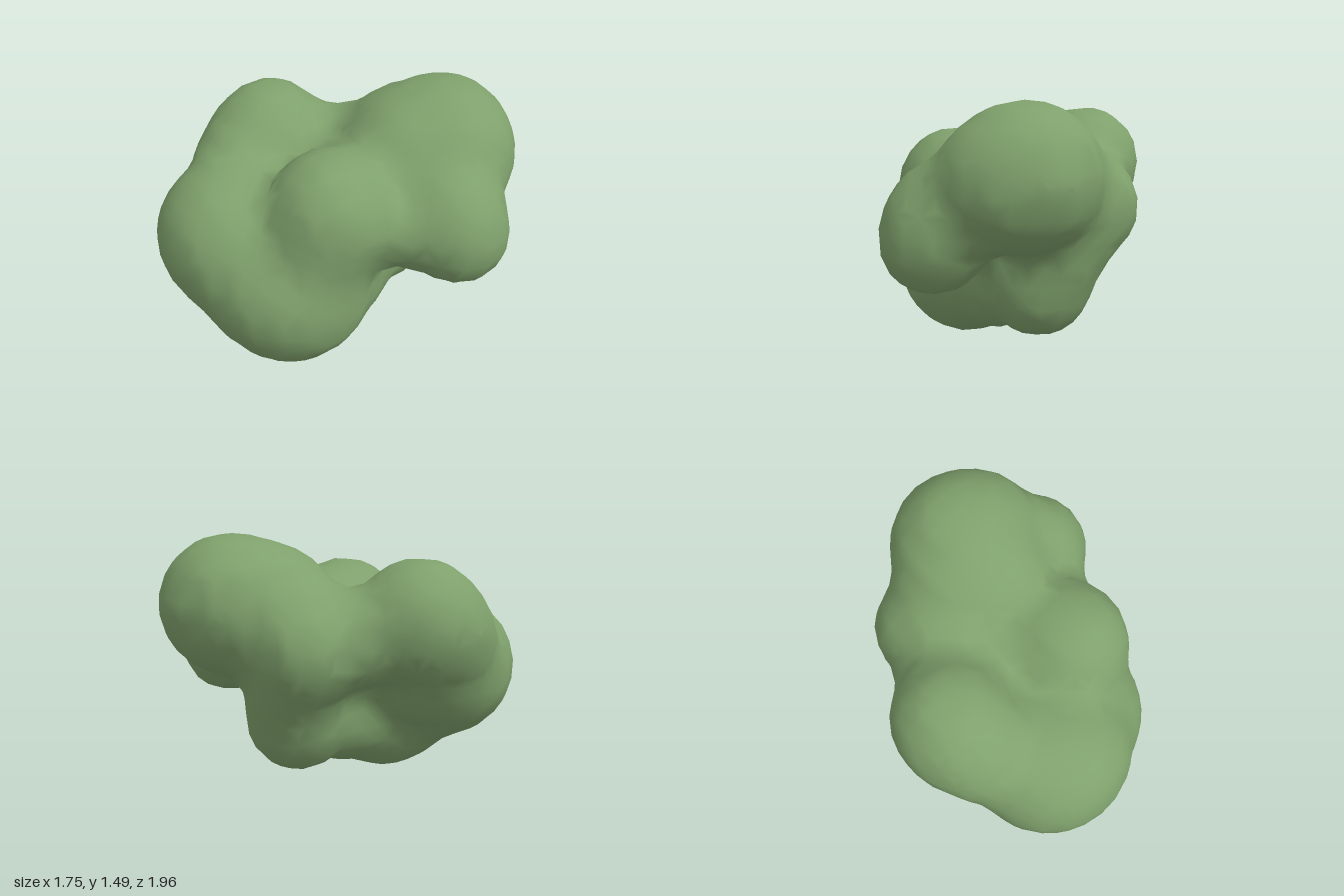
import * as THREE from 'three';

// Lobes of the lumpy body: x, y, z, radius
const LOBES = [
  // upper back
  [0.17, 1.13, -0.6, 0.4], [0.32, 1.1, -0.58, 0.34],
  [0.02, 1.08, -0.45, 0.37], [0.15, 1.08, -0.35, 0.36],
  // left side
  [0.59, 0.8, -0.38, 0.3], [0.52, 0.93, -0.37, 0.3], [0.42, 0.85, -0.15, 0.25],
  // upper right
  [-0.55, 1.08, 0.1, 0.34], [-0.56, 1.0, 0.2, 0.32], [-0.5, 0.93, 0.33, 0.31],
  // front
  [-0.2, 0.69, 0.57, 0.43], [-0.29, 0.71, 0.55, 0.42], [-0.42, 0.74, 0.3, 0.32],
  // lower front
  [0.08, 0.39, 0.4, 0.39], [0.0, 0.5, 0.5, 0.39],
  [0.16, 0.45, 0.32, 0.36], [0.15, 0.5, 0.47, 0.34],
  // upper front
  [0.22, 0.96, 0.2, 0.37], [0.19, 0.75, 0.28, 0.34],
  // lower back
  [-0.04, 0.48, -0.32, 0.31], [0.05, 0.46, 0.05, 0.34], [-0.12, 0.7, -0.41, 0.28],
  // right back
  [-0.27, 0.92, -0.42, 0.31], [-0.4, 0.98, -0.15, 0.27], [-0.2, 1.0, -0.3, 0.27],
  // core
  [-0.05, 0.85, -0.05, 0.34],
];
const BLEND = 0.04;
const SWELL = 0.025; // growth from blending, taken back off

// Smooth union of the lobes: negative inside
function field(p) {
  let sum = 0;
  for (const [x, y, z, r] of LOBES) {
    sum += Math.exp((r - Math.hypot(p[0] - x, p[1] - y, p[2] - z)) / BLEND);
  }
  return SWELL - BLEND * Math.log(sum);
}

// Move a point along the gradient onto the surface
function settle(p) {
  const e = 0.002;
  for (let n = 0; n < 3; n++) {
    const f = field(p);
    const g = [0, 1, 2].map((a) => {
      const q = p.slice();
      q[a] += e;
      return (field(q) - f) / e;
    });
    const len2 = Math.max(0.3, g[0] ** 2 + g[1] ** 2 + g[2] ** 2);
    for (let a = 0; a < 3; a++) p[a] -= (f * g[a]) / len2;
  }
  return p;
}

// Wrap the field in a coarse quad skin, one vertex for each crossed grid cell
function blobGeometry(step) {
  const start = [-1.2, -0.3, -1.3];
  const size = [2.4, 2.2, 2.6].map((s) => Math.ceil(s / step) + 1);
  const id = (c) => c[0] + size[0] * (c[1] + size[1] * c[2]);
  const at = (c) => c.map((v, a) => start[a] + v * step);
  const shift = (c, a, d) => c.map((v, i) => (i === a ? v + d : v));
  const values = [], cells = [], positions = [], index = [];
  for (let k = 0; k < size[2]; k++)
    for (let j = 0; j < size[1]; j++)
      for (let i = 0; i < size[0]; i++) {
        values.push(field(at([i, j, k])));
        cells.push([i, j, k]);
      }

  const vertexOf = new Map();
  for (const c of cells) {
    if (c.some((v, a) => v >= size[a] - 1)) continue;
    const mean = [0, 0, 0];
    let count = 0;
    for (let corner = 0; corner < 8; corner++)
      for (let a = 0; a < 3; a++) {
        if (corner & (1 << a)) continue;
        const p = c.map((v, i) => v + ((corner >> i) & 1));
        const f0 = values[id(p)], f1 = values[id(shift(p, a, 1))];
        if (f0 < 0 === f1 < 0) continue;
        const hit = at(shift(p, a, f0 / (f0 - f1)));
        hit.forEach((v, i) => { mean[i] += v; });
        count++;
      }
    if (!count) continue;
    vertexOf.set(id(c), positions.length / 3);
    positions.push(...settle(mean.map((v) => v / count)));
  }

  for (const p of cells)
    for (let a = 0; a < 3; a++) {
      if (p[a] >= size[a] - 1) continue;
      const inside = values[id(p)] < 0;
      if (inside === values[id(shift(p, a, 1))] < 0) continue;
      const b = (a + 1) % 3, c = (a + 2) % 3;
      const low = shift(p, b, -1);
      const quad = [shift(low, c, -1), shift(p, c, -1), p, low].map((q) => vertexOf.get(id(q)));
      if (!inside) quad.reverse();
      index.push(quad[0], quad[1], quad[2], quad[0], quad[2], quad[3]);
    }

  const geometry = new THREE.BufferGeometry();
  geometry.setAttribute('position', new THREE.Float32BufferAttribute(positions, 3));
  geometry.setIndex(index);
  geometry.computeVertexNormals();
  return geometry;
}

export function createModel() {
  const group = new THREE.Group();
  group.name = 'foliageClump';

  const leafGreen = new THREE.MeshStandardMaterial({ color: 0x7fa16c });
  leafGreen.name = 'leaf green';

  // Centre the skin and stand it on the ground
  const geometry = blobGeometry(0.11);
  geometry.computeBoundingBox();
  const { min, max } = geometry.boundingBox;
  geometry.translate(-(min.x + max.x) / 2, -min.y, -(min.z + max.z) / 2);

  const foliage = new THREE.Mesh(geometry, leafGreen);
  foliage.name = 'foliage';
  group.add(foliage);
  return group;
}
